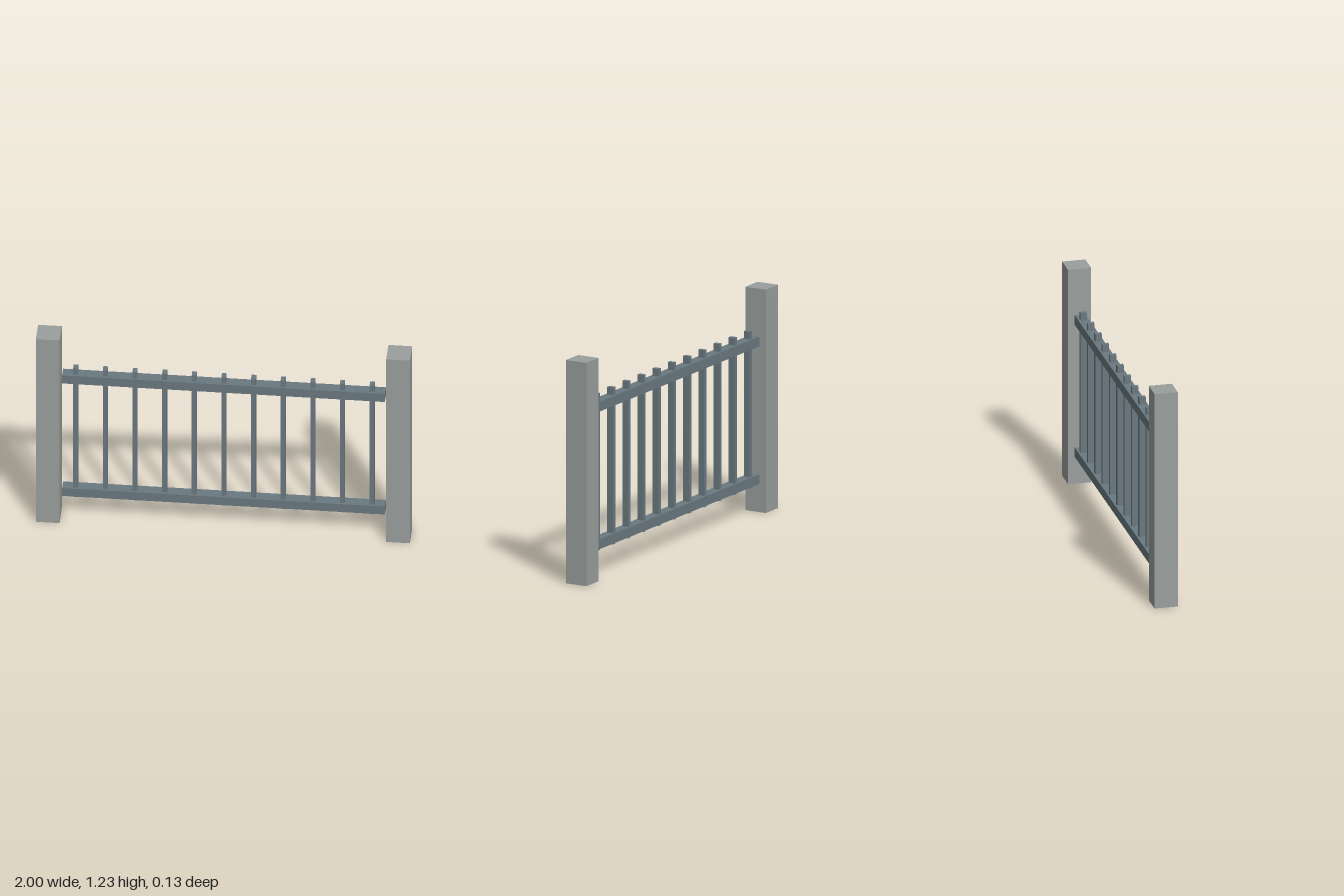
import * as THREE from 'three';

export function createModel() {
  const model = new THREE.Group();
  model.name = 'fencePanel';

  const stone = new THREE.MeshStandardMaterial({ color: 0x9a9f9e });
  stone.name = 'postGrey';
  const metal = new THREE.MeshStandardMaterial({ color: 0x6a7980 });
  metal.name = 'railSlate';

  // Box standing between two heights
  function addBar(name, material, width, depth, bottom, top, x) {
    const mesh = new THREE.Mesh(new THREE.BoxGeometry(width, top - bottom, depth), material);
    mesh.name = name;
    mesh.position.set(x, (bottom + top) / 2, 0);
    model.add(mesh);
  }

  // Square end posts
  addBar('leftPost', stone, 0.127, 0.127, 0, 1.225, 0.9365);
  addBar('rightPost', stone, 0.127, 0.127, 0, 1.225, -0.9365);

  // Horizontal rails, stopping just short of the posts
  addBar('bottomRail', metal, 1.726, 0.059, 0.157, 0.21, 0);
  addBar('topRail', metal, 1.726, 0.059, 0.912, 0.966, 0);

  // Evenly spaced balusters passing through both rails
  const count = 11, spacing = 0.1585;
  for (let i = 0; i < count; i++) {
    addBar(`baluster${i + 1}`, metal, 0.025, 0.036, 0.147, 1.008, (i - (count - 1) / 2) * spacing);
  }

  return model;
}
